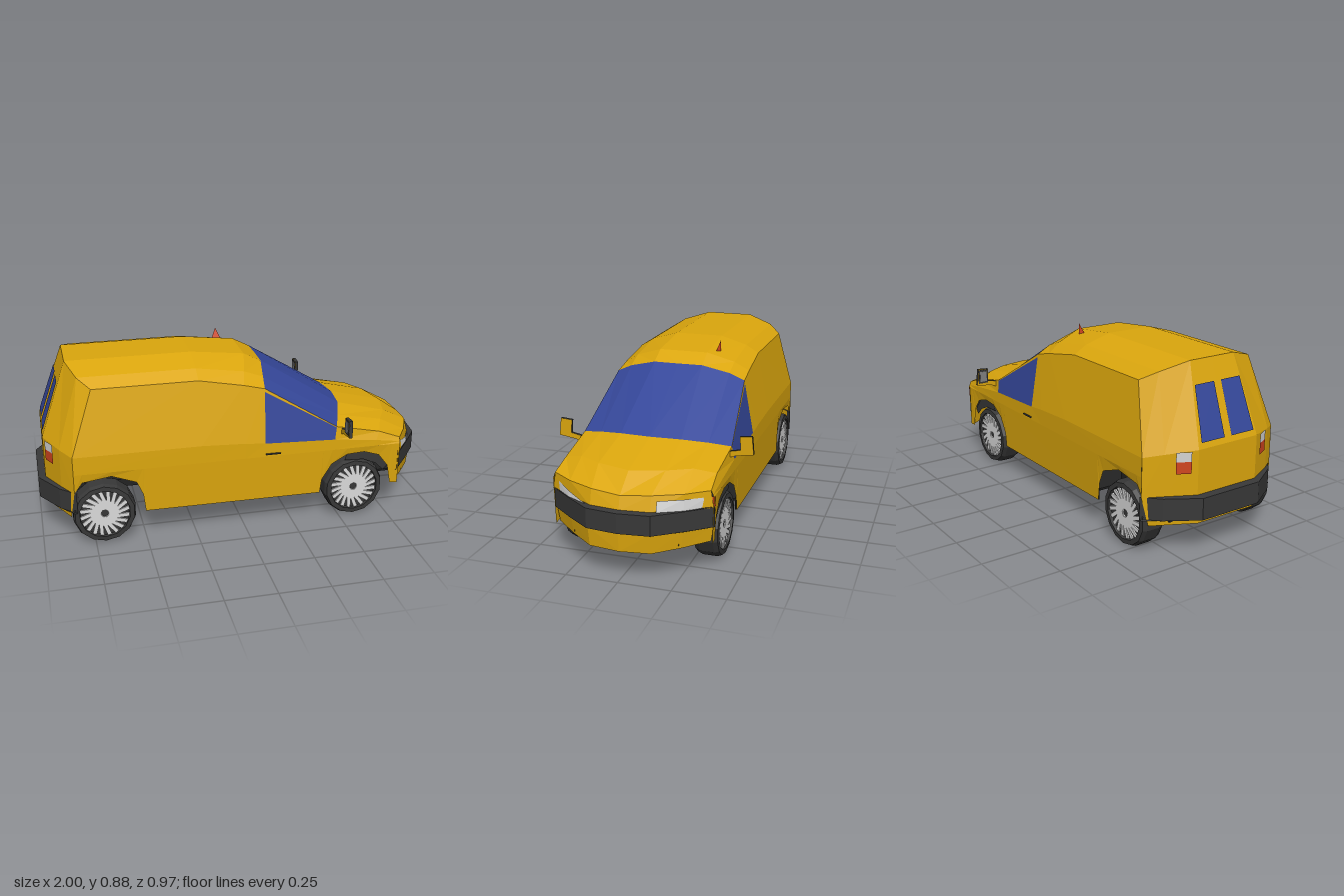
import * as THREE from 'three';

const mat = (name, color) =>
  new THREE.MeshStandardMaterial({ name, color, side: THREE.DoubleSide, flatShading: true });

export function createModel() {
  const yellow = mat('yellow paint', 0xdba60d), blue = mat('blue glass', 0x354799);
  const dark = mat('dark plastic', 0x383838), black = mat('black underside', 0x222222);
  const white = mat('lamp white', 0xd4d4d4), orange = mat('lamp orange', 0xd0451f);
  const silver = mat('rim silver', 0xdadada), grey = mat('mirror grey', 0x808080);
  const van = new THREE.Group();
  van.name = 'van';

  const add = (name, geo, material, x = 0, y = 0, z = 0, parent = van) => {
    const m = new THREE.Mesh(geo, material);
    m.name = name;
    m.position.set(x, y, z);
    parent.add(m);
    return m;
  };
  const box = (name, material, w, h, d, x, y, z) => add(name, new THREE.BoxGeometry(w, h, d), material, x, y, z);

  // Skin over rows of points on the +z half, mirrored to the -z half (or on one half only)
  const skin = (name, material, rows, halves = [1, -1]) => {
    const pos = [];
    const tri = (a, b, c) => halves.forEach(s =>
      (s > 0 ? [a, b, c] : [a, c, b]).forEach(([x, y, z]) => pos.push(x, y, s * z)));
    for (let r = 0; r + 1 < rows.length; r++)
      for (let c = 0; c + 1 < rows[r].length; c++) {
        const a = rows[r][c], b = rows[r + 1][c], e = rows[r + 1][c + 1], d = rows[r][c + 1];
        tri(a, b, e);
        tri(a, e, d);
      }
    const g = new THREE.BufferGeometry();
    g.setAttribute('position', new THREE.Float32BufferAttribute(pos, 3));
    g.computeVertexNormals();
    return add(name, g, material);
  };
  const level = (y, plan) => plan.map(([x, z]) => [x, y, z]);
  const mix = (a, b, t) => a.map((v, i) => v + (b[i] - v) * t);

  // Upper body stations, back to front: door line, belt, gutter, roof edge, roof, centre
  const tail = [[-.84, .38, .385], [-.84, .47, .383], [-.73, .785, .325], [-.79, .825, .26], [-.835, .865, .125], [-.835, .865, 0]];
  const mid = [[-.22, .38, .385], [-.22, .47, .384], [-.22, .785, .325], [-.22, .825, .26], [-.22, .865, .125], [-.22, .865, 0]];
  const brow = [[0, .38, .385], [0, .46, .384], [0, .745, .332], [.02, .79, .26], [.05, .835, .125], [.05, .835, 0]];
  const screenTop = [[.1, .38, .385], [.1, .45, .383], [.105, .72, .335], [.115, .755, .26], [.138, .79, .125], [.14, .79, 0]];
  const screenBase = [[.46, .38, .385], [.46, .435, .383], [.47, .5, .372], [.508, .52, .27], [.55, .537, .15], [.565, .54, 0]];
  const bonnet = [[.68, .38, .385], [.68, .41, .383], [.7, .45, .367], [.74, .475, .27], [.8, .475, .16], [.84, .472, 0]];
  const nose = [[.81, .38, .385], [.81, .39, .381], [.81, .41, .373], [.875, .405, .27], [.935, .405, .14], [.95, .395, 0]];

  skin('roofAndSides', yellow, [tail, mid, brow, screenTop]);
  skin('bonnet', yellow, [screenBase, bonnet, nose]);
  skin('windscreen', blue, [screenTop.slice(2), screenBase.slice(2)]);
  skin('doors', yellow, [screenTop.slice(0, 2), screenBase.slice(0, 2)]);
  const pane = [screenTop, screenBase].map(s => [s[1], mix(s[1], s[2], .94), s[2]]);
  skin('sideWindows', blue, pane.map(p => p.slice(0, 2)));
  skin('windscreenPillars', yellow, pane.map(p => p.slice(1)));

  // Lower sides, whose bottom edge follows the wheel arches
  const sill = [[-.84, .28], [-.8, .335], [-.66, .355], [-.54, .31], [-.51, .24], [-.5, .15],
    [.39, .145], [.4, .22], [.45, .3], [.53, .345], [.62, .35], [.7, .325], [.75, .26], [.77, .16], [.81, .155]];
  skin('lowerSides', yellow, sill.map(([x, y]) => [[x, y, .379], [x, .38, .385]]));
  skin('frontArchLip', dark, [
    [[.52, .31, .372], [.53, .346, .372]], [[.62, .305, .372], [.62, .351, .372]],
    [[.69, .275, .372], [.7, .326, .372]], [[.73, .235, .372], [.755, .26, .372]]]);

  // Front end, from bonnet edge down
  const faceF = [[.81, .385], [.885, .265], [.955, .14], [.97, 0]];
  const bumpF = [[.8, .387], [.895, .27], [.983, .15], [1, 0]];
  const chinTop = [[.79, .381], [.885, .268], [.968, .15], [.982, 0]];
  skin('frontPanel', yellow, [nose.slice(2), level(.33, faceF)]);
  skin('frontBumper', dark, [level(.335, faceF), level(.33, bumpF), level(.235, bumpF), level(.23, chinTop)]);
  skin('frontChin', yellow, [level(.24, chinTop),
    [[.79, .16, .368], [.88, .15, .258], [.96, .142, .145], [.977, .14, 0]]]);

  // Headlamps with orange indicators: full on one half, wedge-shaped on the other
  const lampTop = [[.797, .38, .388], [.885, .384, .273], [.937, .383, .165]];
  const lampLow = [[.797, .334, .39], [.893, .334, .272], [.949, .334, .165]];
  const split = row => mix(row[0], row[1], .24);
  const wedgeTop = [split(lampTop), mix(lampTop[1], lampLow[1], .45), lampLow[2]];
  const lowWhite = [split(lampLow), lampLow[1], lampLow[2]];
  skin('headlampRight', white, [[split(lampTop), lampTop[1], lampTop[2]], lowWhite], [-1]);
  skin('headlampLeft', white, [wedgeTop, lowWhite], [1]);
  skin('indicatorRight', orange, [lampTop, lampLow].map(r => [r[0], split(r)]), [-1]);
  skin('indicatorLeft', orange, [[lampLow[0], split(lampTop)], [lampLow[0], split(lampLow)]], [1]);

  // Rear end, from the bottom up
  const faceR = [[-.84, .385], [-.895, .305], [-.965, .17], [-.965, 0]];
  const bumpR = [[-.83, .387], [-.907, .315], [-1, .165], [-1, 0]];
  skin('rearPanel', yellow, [level(.15, [[-.86, .36], [-.895, .29], [-.962, .16], [-.962, 0]]), level(.285, faceR),
    [[-.84, .47, .383], [-.895, .485, .305], [-.965, .5, .17], [-.965, .5, 0]], tail.slice(2)]);
  skin('rearBumper', dark, [level(.175, faceR), level(.18, bumpR), level(.285, bumpR), level(.29, faceR)]);
  const slope = (t, z) => [-.970 + .13 * t, .502 + .365 * t, z];
  skin('rearWindows', blue, [[slope(.07, .152), slope(.07, .02)], [slope(.72, .13), slope(.72, .02)]]);
  const tailLamp = (name, m, y0, y1) => skin(name, m, [y0, y1].map(y => level(y, [[-.925, .263], [-.957, .201]])));
  tailLamp('tailLampsLower', orange, .395, .45);
  tailLamp('tailLampsUpper', white, .45, .495);

  // Underside: raised floor between dark inner sills, and trays between the wheels
  box('floor', black, .89, .01, .74, -.055, .2, 0);
  for (const s of [1, -1]) box('innerSill', black, .88, .06, .006, -.055, .178, s * .372);
  box('frontFloor', black, .14, .01, .5, .82, .168, 0);
  box('rearFloor', black, .08, .01, .56, -.87, .17, 0);
  for (const [x, w] of [[-.67, .34], [.585, .37]]) {
    box('archLiner', black, w, .006, .75, x, .362, 0);
    box('underTray', black, w, .04, .5, x, .25, 0);
  }

  // Axles and tapered suspension arms
  const P = (x, y) => new THREE.Vector2(x, y);
  const arm = new THREE.Shape([P(.04, .085), P(.2, .08), P(.2, .125), P(.13, .15), P(.04, .11)]);
  const armGeo = new THREE.ExtrudeGeometry(arm, { depth: .16, bevelEnabled: false }).translate(0, 0, -.08);
  for (const x of [-.7, .575]) {
    const axle = add('axle', new THREE.CylinderGeometry(.016, .016, .56, 6), black, x, .155, 0);
    axle.rotation.x = Math.PI / 2;
    for (const s of [1, -1]) add('suspensionArm', armGeo, dark, x).rotation.y = s * Math.PI / 2;
  }

  // Wheels with slanted rim blades
  const tyre = new THREE.LatheGeometry([P(.121, -.05), P(.145, -.058), P(.155, -.035), P(.155, .035),
    P(.147, .056), P(.124, .058), P(.121, .04), P(.121, -.05)], 14);
  const disc = new THREE.CylinderGeometry(.122, .122, .008, 14);
  const blade = new THREE.BoxGeometry(.019, .022, .108);
  for (const x of [-.7, .575])
    for (const s of [1, -1]) {
      const wheel = new THREE.Group();
      wheel.name = 'wheel';
      wheel.position.set(x, .155, s * .322);
      wheel.rotation.x = s * Math.PI / 2;
      van.add(wheel);
      add('tyre', tyre, dark, 0, 0, 0, wheel);
      add('rimDisc', disc, dark, 0, .038, 0, wheel);
      for (let i = 0; i < 20; i++) {
        const a = i / 20 * Math.PI * 2;
        const b = add('rimBlade', blade, silver, Math.sin(a) * .068, .038, Math.cos(a) * .068, wheel);
        b.rotation.y = a + .35;
      }
    }

  // Door mirrors with dark rims, and door handles
  const outline = [[.375, .46], [.4, .47], [.487, .483], [.478, .57], [.42, .565], [.425, .5], [.375, .49]];
  for (const s of [1, -1]) {
    const shape = new THREE.Shape(outline.map(([z, y]) => P(-s * z, y)));
    const shell = add('mirror', new THREE.ExtrudeGeometry(shape, { depth: .016, bevelEnabled: false }), [yellow, dark], .495);
    shell.rotation.y = Math.PI / 2;
    box('mirrorBack', dark, .004, .074, .054, .494, .528, s * .452);
    box('mirrorGlass', grey, .004, .055, .038, .492, .528, s * .452);
    box('doorHandle', dark, .075, .006, .01, .14, .393, s * .386);
  }

  // Roof fin
  const fin = add('roofFin', new THREE.ConeGeometry(.032, .065, 3).rotateY(Math.PI), orange, -.03, .852, -.167);
  fin.rotation.x = -.2;
  fin.scale.z = .5;

  return van;
}
